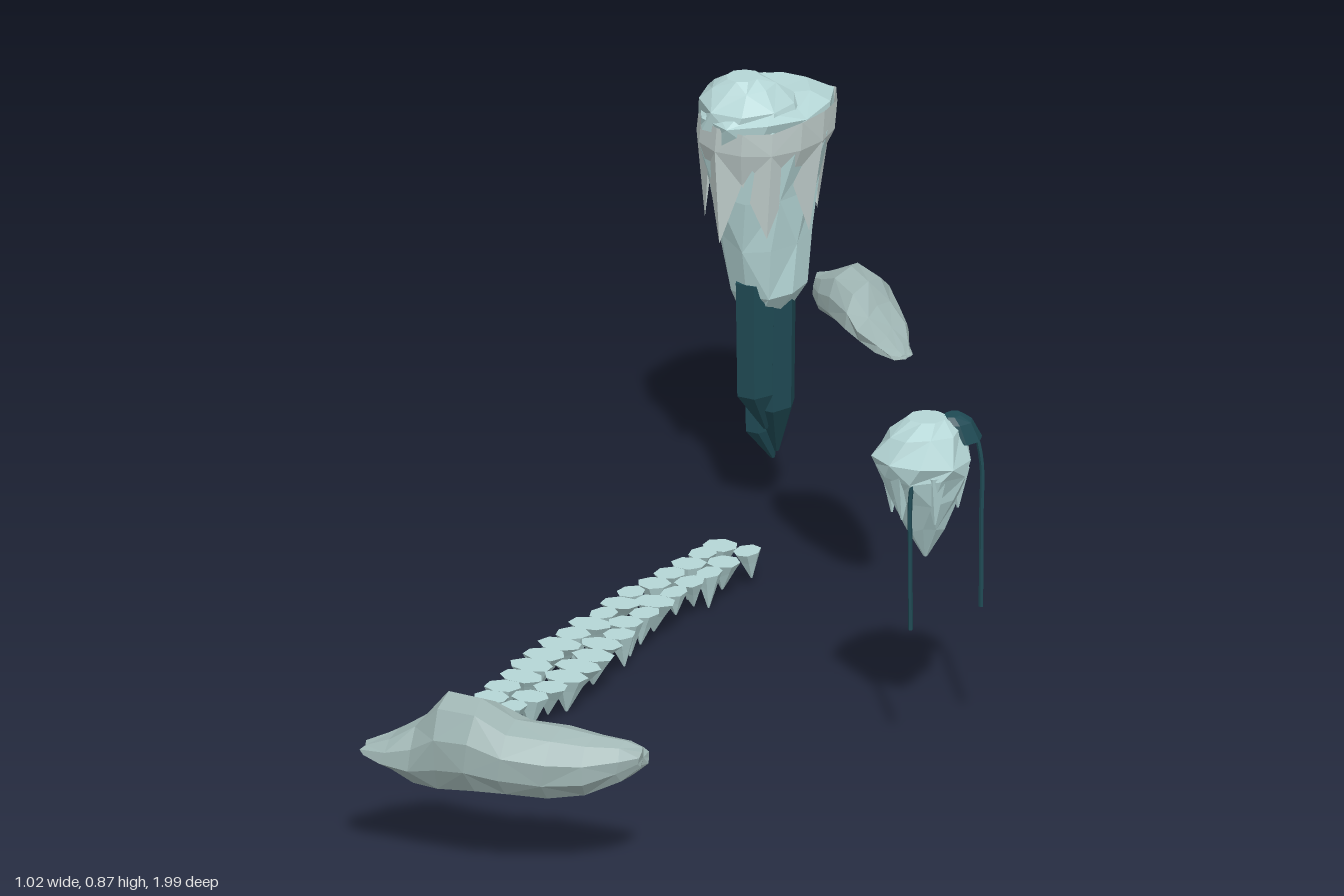
import * as THREE from 'three';

const mat = (color) => new THREE.MeshStandardMaterial({ color, flatShading: true, side: THREE.DoubleSide });
const ICE = mat(0xb5d6d6), ROCK = mat(0x9fb5b3), DARK = mat(0x1f4a54), PALE = mat(0xc4d2d0);

// small seeded noise in -1..1
let seed = 7;
const rnd = () => {
  seed = (seed * 16807) % 2147483647;
  return (seed / 2147483647) * 2 - 1;
};

// skin over a list of equally long point loops, with optional end caps
function loft(loops, capStart = true, capEnd = true) {
  const n = loops[0].length, pos = [], idx = [];
  loops.forEach((l) => l.forEach((p) => pos.push(p.x, p.y, p.z)));
  for (let r = 0; r < loops.length - 1; r++) {
    for (let i = 0; i < n; i++) {
      const j = (i + 1) % n, a = r * n + i, b = r * n + j, c = b + n, d = a + n;
      if ((i + r) % 2) idx.push(a, b, c, a, c, d);
      else idx.push(a, b, d, b, c, d);
    }
  }
  const cap = (start, flip) => {
    const c = new THREE.Vector3();
    for (let i = 0; i < n; i++) c.add(new THREE.Vector3().fromArray(pos, (start + i) * 3));
    c.divideScalar(n);
    const k = pos.length / 3;
    pos.push(c.x, c.y, c.z);
    for (let i = 0; i < n; i++) {
      const a = start + i, b = start + (i + 1) % n;
      if (flip) idx.push(k, b, a);
      else idx.push(k, a, b);
    }
  };
  if (capStart) cap(0, true);
  if (capEnd) cap((loops.length - 1) * n, false);
  const g = new THREE.BufferGeometry();
  g.setAttribute('position', new THREE.Float32BufferAttribute(pos, 3));
  g.setIndex(idx);
  g.computeVertexNormals();
  return g;
}

// upright loop from [y, xMin, xMax, zMin, zMax]
function levelLoop([y, x0, x1, z0, z1], n, jitter = 0, turn = 0, yJitter = 0) {
  return Array.from({ length: n }, (_, i) => {
    const a = ((i + turn) / n) * Math.PI * 2, k = 1 + rnd() * jitter;
    return new THREE.Vector3(
      (x0 + x1) / 2 + ((x1 - x0) / 2) * Math.cos(a) * k,
      y + rnd() * yJitter,
      (z0 + z1) / 2 - ((z1 - z0) / 2) * Math.sin(a) * k);
  });
}

// sideways loop from [x, zMin, zMax, yMin, yMax]: rounded top, flatter base
function sliceLoop([x, z0, z1, y0, y1], n = 10) {
  const mid = y0 + (y1 - y0) * 0.42;
  return Array.from({ length: n }, (_, i) => {
    const a = (i / n) * Math.PI * 2, c = Math.cos(a), s = Math.sin(a);
    const up = c > 0 ? (y1 - mid) * c : (mid - y0) * Math.max(-1, c * 1.2);
    return new THREE.Vector3(x + rnd() * 0.006, mid + up, (z0 + z1) / 2 + ((z1 - z0) / 2) * s * (1 + rnd() * 0.04));
  });
}

export function createModel() {
  const root = new THREE.Group();
  const add = (parent, name, geometry, material) => {
    const m = new THREE.Mesh(geometry, material);
    m.name = name;
    parent.add(m);
    return m;
  };
  const group = (name) => {
    const g = new THREE.Group();
    g.name = name;
    root.add(g);
    return g;
  };

  // tall floating island: tapering body
  const tall = group('tallIsland');
  add(tall, 'tallIslandBody', loft([
    [0.39, -0.44, -0.36, -0.91, -0.81],
    [0.45, -0.455, -0.315, -0.92, -0.775],
    [0.55, -0.475, -0.31, -0.94, -0.75],
    [0.65, -0.49, -0.30, -0.965, -0.73],
    [0.74, -0.505, -0.28, -0.99, -0.71],
    [0.80, -0.505, -0.275, -1.0, -0.70],
    [0.815, -0.48, -0.31, -0.95, -0.72],
  ].map((r, i) => levelLoop(r, 10, 0.04, i * 0.3, i === 0 || i > 4 ? 0.006 : 0.015))), ICE);

  // hill on its top, towards the front
  add(tall, 'tallIslandHill', loft([
    [0.78, -0.50, -0.30, -0.92, -0.705],
    [0.82, -0.49, -0.315, -0.89, -0.71],
    [0.85, -0.465, -0.35, -0.85, -0.735],
    [0.868, -0.435, -0.375, -0.82, -0.755],
  ].map((r, i) => levelLoop(r, 9, 0.04, i * 0.3, i < 3 ? 0.005 : 0))), ICE);

  // frozen mantle with a jagged hem
  const hem = levelLoop([0.62, -0.498, -0.30, -0.965, -0.725], 14, 0.02);
  hem.forEach((p, i) => { p.y += (i % 2 ? 0.08 : -0.04) + rnd() * 0.02; });
  add(tall, 'tallIslandMantle', loft([
    hem,
    levelLoop([0.745, -0.513, -0.275, -0.993, -0.706], 14, 0.015),
    levelLoop([0.795, -0.505, -0.272, -1.0, -0.702], 14, 0.02, 0, 0.01),
  ], false, false), PALE);

  // dark crystals hanging beneath
  [
    [-0.41, -0.865, 0.028, 0.046, 0.16, 0.095, 0.012, -0.02],
    [-0.372, -0.85, 0.033, 0.05, 0.215, 0.11, -0.018, -0.035],
    [-0.392, -0.808, 0.038, 0.045, 0.25, 0.17, 0.005, -0.03],
  ].forEach(([x, z, rx, rz, yEdge, yTip, dx, dz]) => {
    const ring = (y, k, ox = 0, oz = 0) => levelLoop(
      [y, x + ox - rx * k, x + ox + rx * k, z + oz - rz * k, z + oz + rz * k], 6);
    add(tall, 'hangingCrystal', loft([ring(yTip, 0.12, dx, dz), ring(yEdge, 0.92), ring(0.47, 1)]), DARK);
  });

  // small floating island
  const small = group('smallIsland');
  add(small, 'smallIslandBody', loft([
    [0.38, 0.416, 0.424, 0.026, 0.034],
    [0.44, 0.388, 0.455, -0.005, 0.07],
    [0.50, 0.36, 0.485, -0.035, 0.095],
    [0.55, 0.333, 0.502, -0.055, 0.12],
    [0.58, 0.328, 0.508, -0.06, 0.128],
    [0.625, 0.35, 0.485, -0.045, 0.1],
    [0.648, 0.385, 0.455, -0.01, 0.06],
  ].map((r, i) => levelLoop(r, 9, 0.05, i * 0.35, i > 0 && i < 6 ? 0.008 : 0))), ICE);

  // icicle points around its underside
  for (let i = 0; i < 6; i++) {
    const a = i * 1.05 + 0.3, x = 0.42 + Math.cos(a) * 0.06, z = 0.032 - Math.sin(a) * 0.065;
    add(small, 'icicle', loft([
      levelLoop([0.46 + rnd() * 0.02, x - 0.002, x + 0.002, z - 0.002, z + 0.002], 5),
      levelLoop([0.56, x - 0.024, x + 0.024, z - 0.024, z + 0.024], 5),
    ]), ICE);
  }

  // spring on the top with two thin falls
  add(small, 'springPool', loft([
    levelLoop([0.60, 0.425, 0.505, -0.058, 0.02], 8, 0.1),
    levelLoop([0.635, 0.425, 0.49, -0.05, 0.02], 8, 0.1),
    levelLoop([0.648, 0.44, 0.47, -0.03, 0.01], 8, 0.1),
  ]), DARK);
  [
    [[0.46, 0.635, 0.0], [0.474, 0.612, 0.06], [0.448, 0.595, 0.102], [0.436, 0.54, 0.112], [0.434, 0.4, 0.112], [0.434, 0.267, 0.111]],
    [[0.46, 0.635, -0.01], [0.487, 0.61, -0.03], [0.499, 0.56, -0.036], [0.5, 0.45, -0.035], [0.5, 0.275, -0.033]],
  ].forEach((pts) => {
    const curve = new THREE.CatmullRomCurve3(pts.map((p) => new THREE.Vector3(...p)));
    add(small, 'waterfall', new THREE.TubeGeometry(curve, 18, 0.0045, 5), DARK);
  });

  // upper floating rock
  add(root, 'upperRock', loft([
    [-0.10, -0.54, -0.49, 0.593, 0.64],
    [-0.07, -0.55, -0.45, 0.588, 0.655],
    [-0.02, -0.555, -0.41, 0.587, 0.68],
    [0.04, -0.53, -0.36, 0.586, 0.674],
    [0.08, -0.495, -0.34, 0.585, 0.643],
    [0.13, -0.44, -0.315, 0.586, 0.625],
    [0.165, -0.385, -0.305, 0.588, 0.61],
    [0.186, -0.34, -0.31, 0.596, 0.603],
  ].map((r) => sliceLoop(r))), ROCK);

  // lower floating rock
  add(root, 'lowerRock', loft([
    [-0.212, 0.94, 0.99, 0.20, 0.225],
    [-0.17, 0.87, 0.995, 0.18, 0.245],
    [-0.12, 0.84, 0.985, 0.155, 0.28],
    [-0.07, 0.85, 0.99, 0.155, 0.333],
    [0.0, 0.855, 0.99, 0.165, 0.333],
    [0.06, 0.825, 0.975, 0.165, 0.295],
    [0.13, 0.79, 0.94, 0.157, 0.283],
    [0.19, 0.785, 0.90, 0.163, 0.27],
    [0.24, 0.785, 0.86, 0.19, 0.262],
    [0.267, 0.79, 0.83, 0.215, 0.25],
  ].map((r) => sliceLoop(r))), ROCK);

  // path of flat-topped stones, two abreast, pointed underneath
  const path = group('stonePath');
  const rows = 17, step = 0.97 / rows;
  for (let r = 0; r < rows; r++) {
    const z = -0.55 + (r + 0.5) * step;
    const half = 0.055 + 0.025 * Math.exp(-(((z - 0.1) / 0.15) ** 2)) + rnd() * 0.006;
    const centre = -0.293 + 0.01 * Math.sin(z * 8), split = rnd() * 0.012;
    [[centre - half, centre + split - 0.001], [centre + split + 0.001, centre + half]].forEach(([x0, x1], side) => {
      const zc = z + (r > 0 && r < rows - 1 ? (side - 0.5) * 0.02 : 0);
      const hz = step / 2 + 0.003, mx = (x0 + x1) / 2 + rnd() * 0.01, mz = zc + rnd() * 0.01;
      const grow = (x1 - x0) * 0.04;
      const top = levelLoop([0.068, x0 - grow, x1 + grow, zc - hz, zc + hz], 7, 0.06, r * 0.37);
      const tip = new THREE.Vector3(mx, r % 5 === 2 ? 0.001 : 0.018 + rnd() * 0.014, mz);
      const mid = top.map((p) => p.clone().lerp(tip, 0.35 + rnd() * 0.12));
      const end = top.map((p) => tip.clone().lerp(new THREE.Vector3(p.x, tip.y, p.z), 0.06));
      add(path, 'pathStone', loft([end, mid, top]), ICE);
    });
  }
  return root;
}
